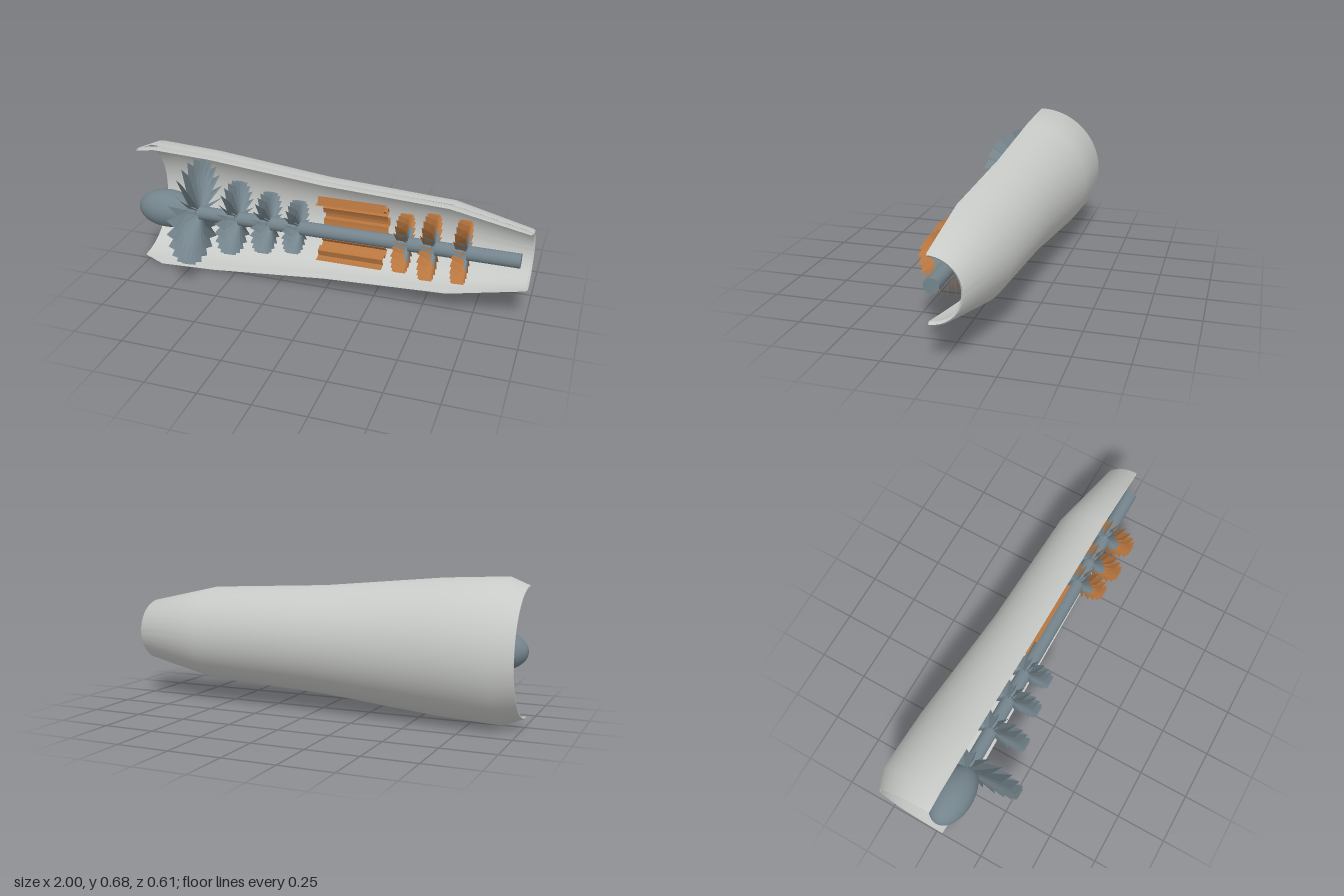
import * as THREE from 'three';
import { mergeGeometries, toCreasedNormals } from 'three/addons/utils/BufferGeometryUtils.js';

const material = (name, color, side = THREE.DoubleSide) => {
  const m = new THREE.MeshStandardMaterial({ color, side });
  m.name = name;
  return m;
};

export function createModel() {
  const shellGrey = material('shellGrey', 0xc8cac7);
  const steel = material('steel', 0x74848c);
  const copper = material('copper', 0xb8763f);

  // The engine axis runs along x through the group origin
  const engine = new THREE.Group();
  engine.name = 'cutawayEngine';
  engine.position.set(0, 0.341, 0.035);

  const add = (name, geometry, mat, parent = engine) => {
    const mesh = new THREE.Mesh(geometry, mat);
    mesh.name = name;
    parent.add(mesh);
    return mesh;
  };

  // Half casing: outer wall forwards, rounded tail rim, inner wall back
  const profile = [
    [0.302, -1], [0.34, -0.91], [0.325, -0.6], [0.268, 0], [0.238, 0.62],
    [0.156, 0.99], [0.148, 1], [0.138, 0.99],
    [0.213, 0.61], [0.243, 0], [0.299, -0.6], [0.312, -0.9], [0.296, -1], [0.302, -1],
  ].map(([r, x]) => new THREE.Vector2(r, x));
  const casing = new THREE.LatheGeometry(profile, 64, Math.PI / 2, Math.PI);
  casing.rotateZ(-Math.PI / 2);
  add('casing', toCreasedNormals(casing, 0.6), shellGrey);

  // Nose cone and shaft
  const nose = new THREE.SphereGeometry(1, 40, 24);
  nose.rotateZ(Math.PI / 2);
  nose.scale(0.158, 0.097, 0.097);
  add('noseCone', nose, steel).position.x = -0.842;

  const cylinder = (name, radius, from, to, parent) => {
    const g = new THREE.CylinderGeometry(radius, radius, to - from, 40);
    g.rotateZ(-Math.PI / 2);
    add(name, g, steel, parent).position.x = (from + to) / 2;
  };
  cylinder('shaft', 0.035, -0.72, 0.955, engine);

  // Ring of pitched blades that widen towards the tip
  const bladeRing = (inner, outer, count = 24) => {
    const blades = [];
    for (let i = 0; i < count; i++) {
      const g = new THREE.PlaneGeometry(1, 1);
      const p = g.attributes.position;
      for (let k = 0; k < p.count; k++) {
        const side = p.getX(k) * 2;
        const r = p.getY(k) > 0 ? outer : inner;
        p.setXYZ(k, side * 0.028, r, side * 0.068 * r);
      }
      g.rotateX(THREE.MathUtils.degToRad(4) + (i / count) * Math.PI * 2);
      const flat = g.toNonIndexed();
      flat.computeVertexNormals();
      blades.push(flat);
    }
    return mergeGeometries(blades);
  };

  const rotor = (name, x, radius, hot) => {
    const group = new THREE.Group();
    group.name = name;
    group.position.x = x;
    engine.add(group);
    cylinder(name + 'Hub', 0.045, -0.014, 0.014, group);
    if (hot) {
      add(name + 'Roots', bladeRing(0.034, 0.086), steel, group);
      add(name + 'Blades', bladeRing(0.086, radius), copper, group);
    } else {
      add(name + 'Blades', bladeRing(0.034, radius), steel, group);
    }
  };

  rotor('fan', -0.688, 0.27, false);
  [[-0.473, 0.187], [-0.3, 0.155], [-0.146, 0.133]].forEach(([x, r], i) =>
    rotor('compressor' + (i + 1), x, r, false));
  [[0.398, 0.142], [0.527, 0.16], [0.68, 0.152]].forEach(([x, r], i) =>
    rotor('turbine' + (i + 1), x, r, true));

  // Corrugated half liner of the combustion chamber, behind the shaft
  const liner = [];
  const steps = 12;
  for (let i = 0; i < steps; i++) {
    const r = i % 2 ? 0.135 : 0.167;
    const arc = Math.PI / steps;
    const start = Math.PI / 2 + i * arc;
    const panel = new THREE.CylinderGeometry(r, r, 0.335, 4, 1, true, start, arc);
    panel.rotateZ(-Math.PI / 2);
    liner.push(panel);
    // Radial wall joining neighbouring panels
    if (i > 0) {
      const wall = new THREE.PlaneGeometry(0.335, 0.032);
      wall.translate(0, 0.151, 0);
      wall.rotateX(-i * arc);
      liner.push(wall);
    }
  }
  add('combustorLiner', mergeGeometries(liner), copper).position.x = 0.123;

  const model = new THREE.Group();
  model.name = 'engineModel';
  model.add(engine);
  return model;
}
